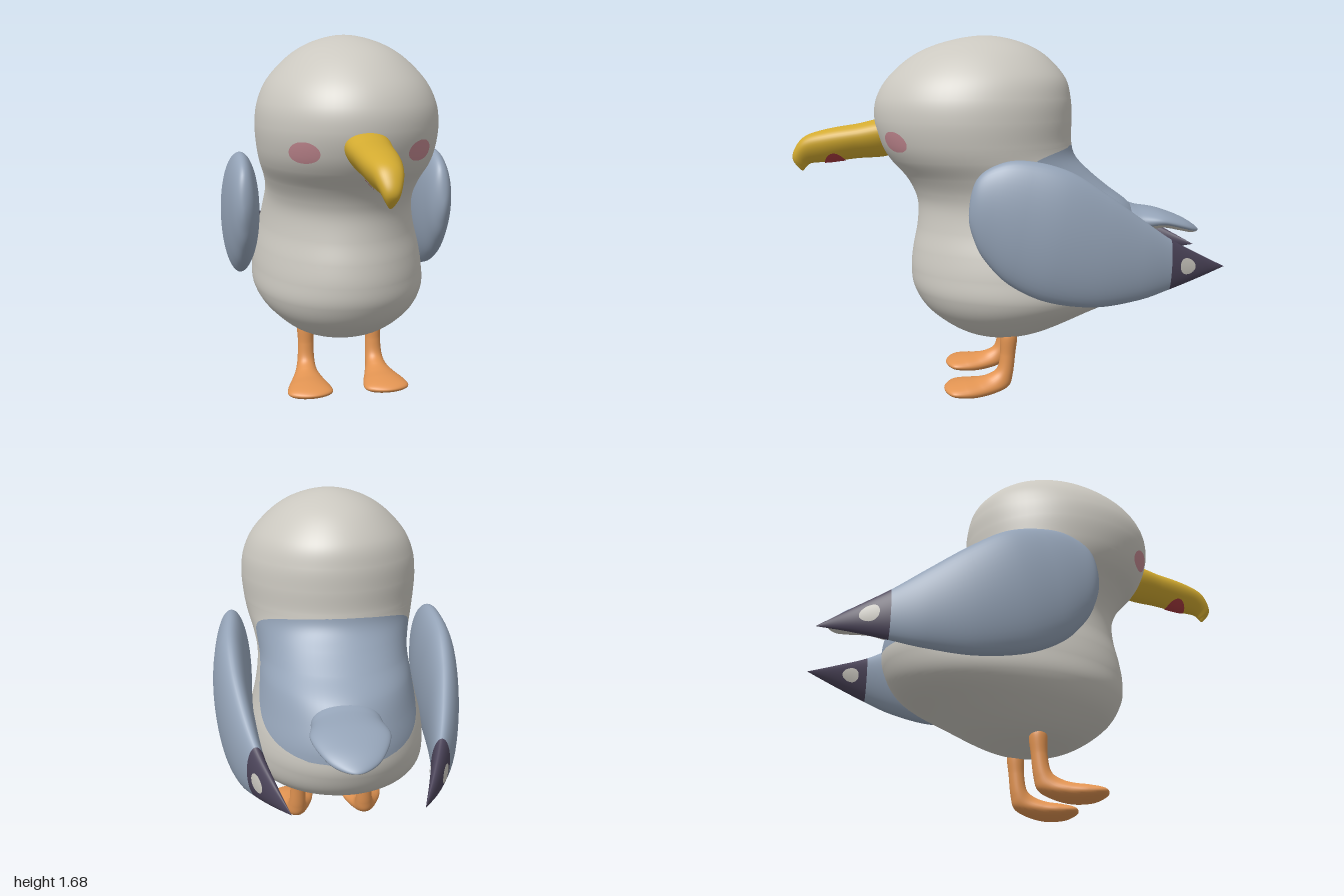
import * as THREE from 'three';

const mat = (name, color) => {
  const m = new THREE.MeshStandardMaterial({ color });
  m.name = name;
  return m;
};

// Smooth skin through sections [zA, yA, zB, yB, halfWidth, xCentre].
// A and B are opposite ends of an oval section; k makes it egg-shaped.
function skin(rows, { k = 0, pointed = false, side = 1 } = {}) {
  const n = rows.length;
  const mirrored = r => [r[2], r[3], r[0], r[1], -r[4], r[5]];
  const row = i => {
    if (i < 0) return mirrored(rows[1]);
    if (i < n) return rows[i];
    return pointed ? rows[n - 1].map((v, j) => 2 * v - rows[n - 2][j]) : mirrored(rows[n - 2]);
  };
  const point = (t, a) => {
    const i = Math.max(0, Math.min(Math.floor(t), n - 2)), f = t - i;
    const [p, q, r, s] = [row(i - 1), row(i), row(i + 1), row(i + 2)];
    const [zA, yA, zB, yB, w, xc] = q.map((v, j) => v + 0.5 * f * (r[j] - p[j]
      + f * (2 * p[j] - 5 * v + 4 * r[j] - s[j] + f * (3 * (v - r[j]) + s[j] - p[j]))));
    const c = Math.cos(a) / 2;
    return new THREE.Vector3(side * xc + w * Math.sin(a) * (1 - 2 * k * c),
      (yA + yB) / 2 + c * (yA - yB), (zA + zB) / 2 + c * (zA - zB));
  };
  const normal = (t, a) => {
    const e = 0.01, u = Math.max(0.03, Math.min(n - 1.03, t));
    const da = point(u, a + e).sub(point(u, a - e));
    const dt = point(u + e, a).sub(point(u - e, a));
    return da.cross(dt).normalize();
  };
  return { point, normal, end: n - 1 };
}

function build(points, normals, index) {
  const g = new THREE.BufferGeometry();
  g.setAttribute('position', new THREE.Float32BufferAttribute(points.flatMap(p => p.toArray()), 3));
  g.setAttribute('normal', new THREE.Float32BufferAttribute(normals.flatMap(p => p.toArray()), 3));
  g.setIndex(index);
  return g;
}

// Part of a skin between rows t0..t1 and between two angles given per row
function panel(s, { t0 = 0, t1 = s.end, from = () => -Math.PI, to = () => Math.PI, na = 48, step = 8 } = {}) {
  const nt = Math.round((t1 - t0) * step), P = [], N = [], index = [];
  for (let i = 0; i <= nt; i++) {
    const t = t0 + (t1 - t0) * i / nt;
    for (let j = 0; j <= na; j++) {
      const a = from(t) + (to(t) - from(t)) * j / na;
      P.push(s.point(t, a));
      N.push(s.normal(t, a));
      if (i === nt || j === na) continue;
      const next = t + (t1 - t0) / nt;
      if (to(t) - from(t) < 1e-6 && to(next) - from(next) < 1e-6) continue;
      const v = i * (na + 1) + j, w = v + na + 1;
      index.push(v, v + 1, w + 1, v, w + 1, w);
    }
  }
  return build(P, N, index);
}

// Thin oval marking lying on a skin
function spot(s, t0, a0, rt, ra, lift = 0.004) {
  const rings = 8, seg = 32, P = [], N = [], index = [];
  for (let i = 0; i <= rings; i++) {
    for (let j = 0; j <= seg; j++) {
      const th = j / seg * Math.PI * 2, r = i / rings;
      const t = t0 + rt * r * Math.sin(th), a = a0 + ra * r * Math.cos(th);
      const nrm = s.normal(t, a);
      P.push(s.point(t, a).addScaledVector(nrm, lift));
      N.push(nrm);
      if (i === rings || j === seg) continue;
      const v = i * (seg + 1) + j, w = v + seg + 1;
      index.push(v, w, w + 1, v, w + 1, v + 1);
    }
  }
  return build(P, N, index);
}

export function createModel() {
  const root = new THREE.Group();
  root.name = 'seabird';
  const white = mat('pale feathers', 0xcbc8c0), blue = mat('blue grey feathers', 0x94a3b7);
  const dark = mat('dark wing tip', 0x4b4459), yellow = mat('yellow beak', 0xd2aa30);
  const orange = mat('orange legs', 0xe29452), pink = mat('pink cheeks', 0xc48a92);
  const red = mat('red beak spot', 0xab3b40);
  const add = (name, geometry, material) => {
    const m = new THREE.Mesh(geometry, material);
    m.name = name;
    root.add(m);
  };

  // Body and head, with a blue saddle over the back
  const body = skin([
    [0, .255, 0, .255, 0, 0], [.2, .288, -.2, .295, .2, 0], [.36, .39, -.44, .405, .345, 0],
    [.435, .5, -.61, .49, .41, 0], [.45, .6, -.68, .6, .413, 0], [.44, .7, -.69, .7, .398, 0],
    [.42, .8, -.66, .8, .372, 0], [.413, .9, -.6, .9, .354, 0], [.43, .97, -.49, .985, .35, 0],
    [.47, 1.04, -.4, 1.06, .365, 0], [.54, 1.12, -.335, 1.13, .39, 0], [.585, 1.2, -.315, 1.2, .405, 0],
    [.61, 1.3, -.315, 1.3, .412, 0], [.6, 1.4, -.31, 1.4, .398, 0], [.54, 1.5, -.28, 1.5, .348, 0],
    [.42, 1.6, -.18, 1.605, .245, 0], [.27, 1.66, -.05, 1.665, .13, 0], [.1, 1.687, .1, 1.687, 0, 0],
  ]);
  const saddle = t => 1.35 * Math.sqrt(Math.max(0, 1 - Math.abs((t - 7.7) / 3.1) ** 3));
  add('body', panel(body, { from: t => saddle(t) - Math.PI, to: t => Math.PI - saddle(t), na: 72, step: 10 }), white);
  add('backSaddle', panel(body, { from: t => Math.PI - saddle(t), to: t => Math.PI + saddle(t), na: 32, step: 10 }), blue);

  // Tail, blue above and pale below
  const tail = skin([
    [-.45, .84, -.45, .84, 0, 0], [-.55, .905, -.55, .74, .13, 0], [-.64, .888, -.66, .755, .152, 0],
    [-.74, .87, -.75, .78, .163, 0], [-.84, .835, -.84, .765, .13, 0], [-.905, .8, -.905, .752, .08, 0],
    [-.945, .764, -.945, .764, 0, 0],
  ]);
  add('tailTop', panel(tail, { from: () => -1.9, to: () => 1.9 }), blue);
  add('tailUnderside', panel(tail, { from: () => 1.9, to: () => 2 * Math.PI - 1.9, na: 24 }), white);

  // Hooked beak with a spot wrapped under it
  const beak = skin([
    [.5, 1.21, .5, 1.21, 0, 0], [.54, 1.135, .54, 1.305, .085, 0], [.7, 1.118, .7, 1.28, .082, 0],
    [.82, 1.103, .83, 1.258, .073, 0], [.9, 1.098, .935, 1.225, .056, 0], [.925, 1.09, .985, 1.17, .041, 0],
    [.94, 1.075, .998, 1.115, .025, 0], [.96, 1.063, .96, 1.063, 0, 0],
  ], { k: .35 });
  add('beak', panel(beak), yellow);
  add('beakSpot', spot(beak, 2.83, 0, .47, 1.1), red);

  for (const side of [1, -1]) {
    const label = side > 0 ? 'left' : 'right';
    add(label + 'Cheek', spot(body, 11.1, side * .65, .5, .18), pink);

    // Folded wing with dark tip and pale spots on both faces
    const wing = skin([
      [.175, .92, .175, .92, 0, .47], [.14, 1.07, .15, .8, .045, .465], [.03, 1.14, .1, .71, .07, .465],
      [-.1, 1.145, 0, .61, .085, .467], [-.26, 1.1, -.16, .535, .087, .47], [-.42, 1, -.37, .505, .076, .455],
      [-.58, .885, -.57, .525, .06, .42], [-.72, .787, -.715, .56, .04, .377], [-.86, .71, -.865, .6, .022, .32],
      [-1, .635, -1, .635, 0, .255],
    ], { side, pointed: true });
    add(label + 'Wing', panel(wing, { t1: 7 }), blue);
    add(label + 'WingTip', panel(wing, { t0: 7 }), dark);
    for (const a of [1, -1])
      add(label + (a === side ? 'OuterWingSpot' : 'InnerWingSpot'), spot(wing, 7.55, a * 1.53, .27, .46), white);

    // Leg flowing into a flat foot
    const leg = skin([
      [-.01, .32, -.01, .32, 0, .17], [-.05, .3, .027, .3, .04, .17], [-.042, .2, .03, .2, .038, .17],
      [-.03, .1, .045, .13, .042, .172], [-.01, .045, .09, .1, .052, .176], [.06, .015, .14, .086, .075, .18],
      [.15, .003, .2, .08, .1, .183], [.24, .013, .25, .07, .105, .184], [.28, .028, .282, .058, .065, .184],
      [.296, .044, .296, .044, 0, .184],
    ], { side });
    add(label + 'Leg', panel(leg, { na: 32 }), orange);
  }
  return root;
}
